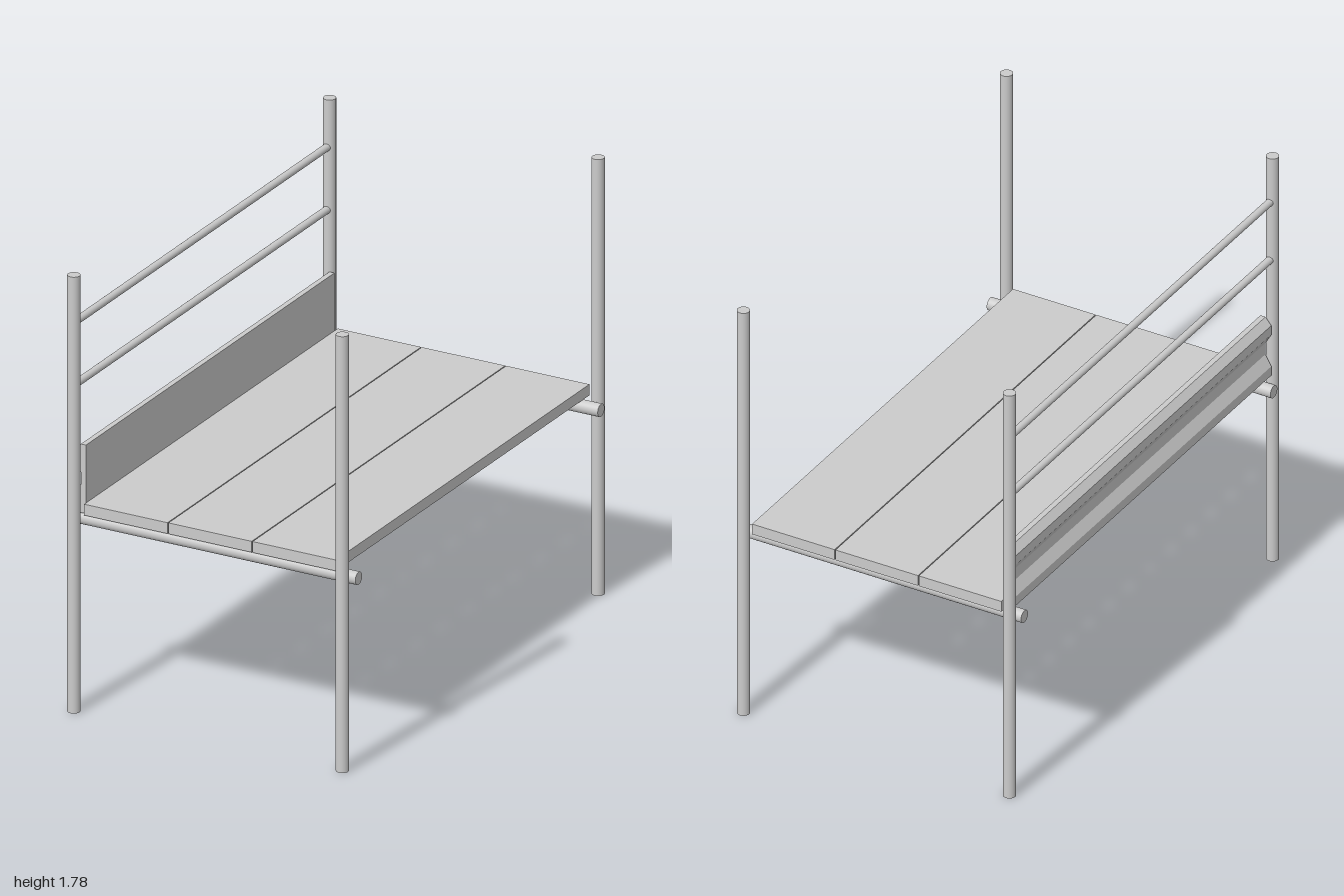
import * as THREE from 'three';

export function createModel() {
  const group = new THREE.Group();
  const material = new THREE.MeshStandardMaterial({ color: 0xcccccc });

  const add = (name, geometry, x, y, z) => {
    const mesh = new THREE.Mesh(geometry, material);
    mesh.name = name;
    mesh.position.set(x, y, z);
    group.add(mesh);
    return mesh;
  };
  const tube = (radius, length) => new THREE.CylinderGeometry(radius, radius, length, 32);

  const leftX = -0.584, rightX = 0.574;

  // four upright posts
  for (const x of [leftX, rightX])
    for (const z of [-0.975, 0.975])
      add('post', tube(0.025, 1.78), x, 0.89, z);

  // cross bars just inside the posts, carrying the deck
  for (const z of [-0.924, 0.924])
    add('crossBar', tube(0.026, 1.235), -0.002, 0.774, z).rotation.z = Math.PI / 2;

  // deck planks with narrow gaps
  for (let i = 0; i < 3; i++)
    add('plank', new THREE.BoxGeometry(0.359, 0.045, 1.934), -0.369 + i * 0.363, 0.8225, -0.008);

  // guard rails on one side
  for (const y of [1.33, 1.585])
    add('guardRail', tube(0.015, 1.95), leftX, y, 0).rotation.x = Math.PI / 2;

  // toe board: flat inside, two ridges outside
  const profile = new THREE.Shape([
    [-0.55, 0.80], [-0.55, 1.08], [-0.572, 1.08], [-0.598, 1.05], [-0.598, 1.01],
    [-0.572, 0.965], [-0.572, 0.915], [-0.598, 0.87], [-0.598, 0.83], [-0.572, 0.80],
  ].map(([x, y]) => new THREE.Vector2(x, y)));
  add('toeBoard', new THREE.ExtrudeGeometry(profile, { depth: 1.895, bevelEnabled: false }), 0, 0, -0.952);

  return group;
}
